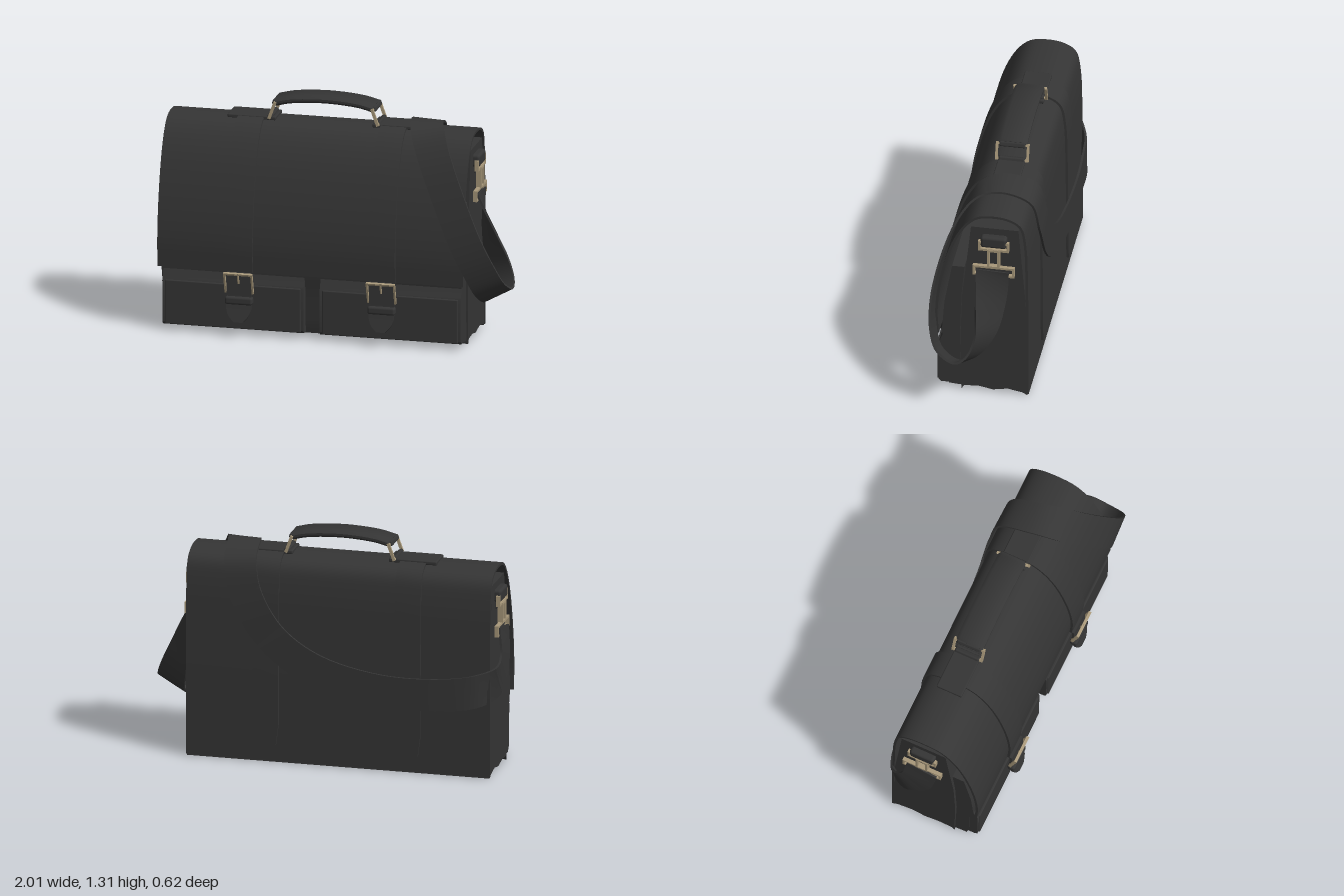
import * as THREE from 'three';
import { toCreasedNormals } from 'three/addons/utils/BufferGeometryUtils.js';
import { RoundedBoxGeometry } from 'three/addons/geometries/RoundedBoxGeometry.js';

const leather = new THREE.MeshStandardMaterial({ color: 0x353535, side: THREE.DoubleSide });
leather.name = 'black leather';
const brass = new THREE.MeshStandardMaterial({ color: 0xa8987a });
brass.name = 'brass';

const CX = -0.095, WIDTH = 1.7;
const V = (x, y, z) => new THREE.Vector3(x, y, z);
const RECT = [[-1, -1], [1, -1], [1, 1], [-1, 1]];
const OVAL = [[-1, -0.3], [-0.75, -1], [0.75, -1], [1, -0.3], [1, 0.3], [0.75, 1], [-0.75, 1], [-1, 0.3]];

// Sweeps a flat section along a path; sides gives the width direction at each point
function ribbon(path, sides, { width, thick = 0.012, lift = 0, steps = 48, taper = () => 1, section = RECT }) {
  const curve = new THREE.CatmullRomCurve3(path, false, 'centripetal');
  const turn = new THREE.CatmullRomCurve3(sides.length > 1 ? sides : [sides[0], sides[0].clone()]);
  const rings = [], out = [];
  for (let i = 0; i <= steps; i++) {
    const t = i / steps, p = curve.getPoint(t), T = curve.getTangent(t);
    const w = turn.getPoint(t);
    w.addScaledVector(T, -w.dot(T)).normalize();
    const n = w.clone().cross(T).normalize();
    rings.push(section.map(([u, v]) => p.clone()
      .addScaledVector(w, u * width / 2 * taper(t))
      .addScaledVector(n, v * thick / 2 + lift)));
  }
  const tri = (...pts) => pts.forEach(q => out.push(q.x, q.y, q.z));
  const m = section.length;
  for (let i = 0; i < steps; i++) for (let j = 0; j < m; j++) {
    const k = (j + 1) % m, a = rings[i], b = rings[i + 1];
    tri(a[j], b[j], b[k]);
    tri(a[j], b[k], a[k]);
  }
  const first = rings[0], last = rings[steps];
  for (let j = 1; j < m - 1; j++) {
    tri(first[0], first[j], first[j + 1]);
    tri(last[0], last[j + 1], last[j]);
  }
  const g = new THREE.BufferGeometry();
  g.setAttribute('position', new THREE.Float32BufferAttribute(out, 3));
  return toCreasedNormals(g, 0.7);
}

// Extrudes a [z, y] side profile across the bag, centred on cx
function sideProfile(points, width, cx = CX) {
  const shape = new THREE.Shape(points.map(([z, y]) => new THREE.Vector2(z, y)));
  const g = new THREE.ExtrudeGeometry(shape, { depth: width, bevelEnabled: false });
  g.rotateY(-Math.PI / 2).translate(cx + width / 2, 0, 0);
  return toCreasedNormals(g, 0.6);
}

// Rectangular metal frame in the xy plane
function frame(w, h, bar, depth = 0.016) {
  const rect = (T, a, b) => new T([[-a, -b], [a, -b], [a, b], [-a, b]].map(p => new THREE.Vector2(p[0] / 2, p[1] / 2)));
  const s = rect(THREE.Shape, w, h);
  s.holes.push(rect(THREE.Path, w - 2 * bar, h - 2 * bar));
  return new THREE.ExtrudeGeometry(s, { depth, bevelEnabled: false }).translate(0, 0, -depth / 2);
}

export function createModel() {
  const bag = new THREE.Group();
  bag.name = 'briefcase';
  const add = (name, geo, mat, pos = [0, 0, 0], rot = [0, 0, 0], parent = bag) => {
    const m = new THREE.Mesh(geo, mat);
    m.name = name;
    m.position.set(...pos);
    m.rotation.set(...rot);
    parent.add(m);
  };
  const addGroup = (name, x, y, z) => {
    const g = new THREE.Group();
    g.name = name;
    g.position.set(x, y, z);
    bag.add(g);
    return g;
  };
  const box = (x, y, z) => new RoundedBoxGeometry(x, y, z, 2, Math.min(x, y, z) * 0.3);
  const flat = [0, 0, 0], quarter = [0, Math.PI / 2, 0];

  // Main compartment with a slightly sagging base
  add('mainBody', sideProfile([[0.115, 0], [0.1, 0.025], [0.02, 0.03], [-0.06, 0.015], [-0.14, 0.03], [-0.22, 0.015],
    [-0.248, 0], [-0.24, 0.6], [-0.2, 1.08], [0.062, 1.08], [0.085, 0.86], [0.11, 0.63], [0.12, 0.35]], WIDTH), leather);

  // Front compartment, hidden mostly under the flap
  add('frontCompartment', sideProfile([[0.115, 0.02], [0.185, 0.025], [0.2, 0.1], [0.2, 0.27], [0.225, 0.36],
    [0.21, 0.56], [0.168, 0.8], [0.1, 0.8], [0.115, 0.63], [0.125, 0.35]], WIDTH - 0.02), leather);

  // Twin front pockets with a sloping top and a raised panel
  for (const x of [-0.53, 0.35]) {
    add('frontPocket', sideProfile([[0.13, 0.03], [0.23, 0.03], [0.244, 0.045], [0.246, 0.28], [0.236, 0.297],
      [0.215, 0.355], [0.13, 0.355]], 0.79, x), leather);
    add('pocketPanel', box(0.76, 0.25, 0.02), leather, [x, 0.16, 0.242]);
  }

  // Flap: from the front edge, over the top and down the back
  const flapPath = [[0.245, 0.36], [0.252, 0.5], [0.238, 0.66], [0.2, 0.84], [0.148, 0.99], [0.088, 1.09],
    [0.03, 1.14], [-0.04, 1.155], [-0.14, 1.147], [-0.21, 1.105], [-0.236, 1], [-0.247, 0.7]];
  const over = (x, endY) => [...flapPath, [-0.25, endY]].map(([z, y]) => V(x, y, z));
  const across = [V(1, 0, 0)];
  add('flap', ribbon(over(CX, 0.01), across, { width: 1.71, thick: 0.014 }), leather);

  const tip = t => t < 0.75 ? 1 : Math.sqrt(Math.max(0.12, 1 - ((t - 0.75) / 0.25) ** 2));
  for (const x of [-0.488, 0.31]) {
    // Closing strap with buckle, keeper and tongue
    const g = addGroup('closingStrap', x, 0, 0);
    add('strap', ribbon(over(0, 0.1), across, {
      width: 0.145, lift: 0.013, thick: 0.014, steps: 64, taper: t => t > 0.985 ? 0.8 : 1,
    }), leather, flat, flat, g);
    add('tongue', ribbon([V(0, 0.36, 0.272), V(0, 0.28, 0.272), V(0, 0.2, 0.275), V(0, 0.085, 0.298)], across,
      { width: 0.14, thick: 0.014, steps: 24, taper: tip }), leather, flat, flat, g);
    add('keeper', box(0.155, 0.045, 0.045), leather, [0, 0.205, 0.275], flat, g);
    add('buckle', frame(0.162, 0.125, 0.01), brass, [0, 0.305, 0.287], [0.3, 0, 0], g);
    add('bucklePin', new THREE.CylinderGeometry(0.006, 0.006, 0.065, 8), brass, [0, 0.335, 0.297], [0.3, 0, 0], g);
  }

  // Carrying handle
  const HZ = -0.07;
  add('handleGrip', ribbon([V(-0.355, 1.255, HZ), V(-0.27, 1.275, HZ), V(-0.08, 1.288, HZ), V(0.11, 1.275, HZ), V(0.195, 1.255, HZ)],
    [V(0, 0, 1)], { width: 0.16, thick: 0.04, steps: 20, section: OVAL }), leather);
  for (const s of [-1, 1]) {
    // Handle ring, held by leather loops above and below
    const ring = addGroup('handleRing', -0.08 + s * 0.288, 1.215, HZ);
    ring.rotation.z = s * 0.35;
    add('ringFrame', frame(0.185, 0.1, 0.013), brass, flat, quarter, ring);
    add('upperLoop', box(0.035, 0.03, 0.145), leather, [0, 0.043, 0], flat, ring);
    add('lowerLoop', box(0.03, 0.03, 0.145), leather, [0, -0.043, 0], flat, ring);
    add('handlePlate', box(0.27, 0.022, 0.15), leather, [-0.08 + s * 0.405, 1.165, HZ]);
  }

  // End fittings: leather tab over the upper ring, swivel and lower ring
  for (const s of [-1, 1]) {
    const g = addGroup('endFitting', CX + s * WIDTH / 2, 0, -0.067);
    add('endTab', box(0.055, 0.07, 0.145), leather, [s * 0.01, 1.005, 0], flat, g);
    add('tabLining', box(0.02, 0.06, 0.11), leather, [0, 0.96, 0], flat, g);
    add('upperRing', frame(0.17, 0.06, 0.013, 0.022), brass, [s * 0.022, 0.98, 0], quarter, g);
    add('swivelBars', frame(0.07, 0.12, 0.013, 0.03), brass, [s * 0.022, 0.9, 0], quarter, g);
    add('lowerRing', frame(0.23, 0.062, 0.012, 0.022), brass, [s * 0.022, 0.817, 0], quarter, g);
  }

  // Shoulder strap: hangs from one end, loops over the top, crosses the back to the other end
  const route = [
    // position, width direction
    [0.785, 0.82, -0.062, 0, 0, 1], [0.825, 0.62, -0.056, 0.55, 0.1, 0.8], [0.875, 0.45, -0.035, 0.8, 0.3, 0.5],
    [0.918, 0.33, 0.035, 0.86, 0.45, 0.2], [0.925, 0.293, 0.115, 0.87, 0.48, 0], [0.9, 0.345, 0.21, 0.88, 0.47, 0],
    [0.858, 0.44, 0.252, 0.9, 0.42, 0], [0.78, 0.6, 0.266, 0.9, 0.42, 0], [0.67, 0.84, 0.222, 0.9, 0.4, 0],
    [0.57, 1.05, 0.14, 0.95, 0.25, 0], [0.51, 1.165, 0.045, 1, 0.05, 0], [0.48, 1.19, -0.07, 1, 0, 0],
    [0.46, 1.13, -0.23, 1, -0.1, 0], [0.42, 0.95, -0.272, 0.95, -0.3, 0], [0.28, 0.72, -0.28, 0.8, -0.6, 0],
    [0.05, 0.56, -0.283, 0.5, -0.85, 0], [-0.3, 0.47, -0.29, 0.2, -1, 0], [-0.65, 0.465, -0.295, 0, -1, 0],
    [-0.88, 0.5, -0.28, 0, -1, 0], [-0.982, 0.55, -0.2, 0, -0.95, 0.3], [-0.992, 0.65, -0.1, 0, -0.5, 0.85],
    [-0.975, 0.82, -0.065, 0, 0, 1],
  ];
  add('shoulderStrap', ribbon(route.map(p => V(p[0], p[1], p[2])), route.map(p => V(p[3], p[4], p[5])),
    { width: 0.18, thick: 0.012, steps: 120 }), leather);

  return bag;
}
